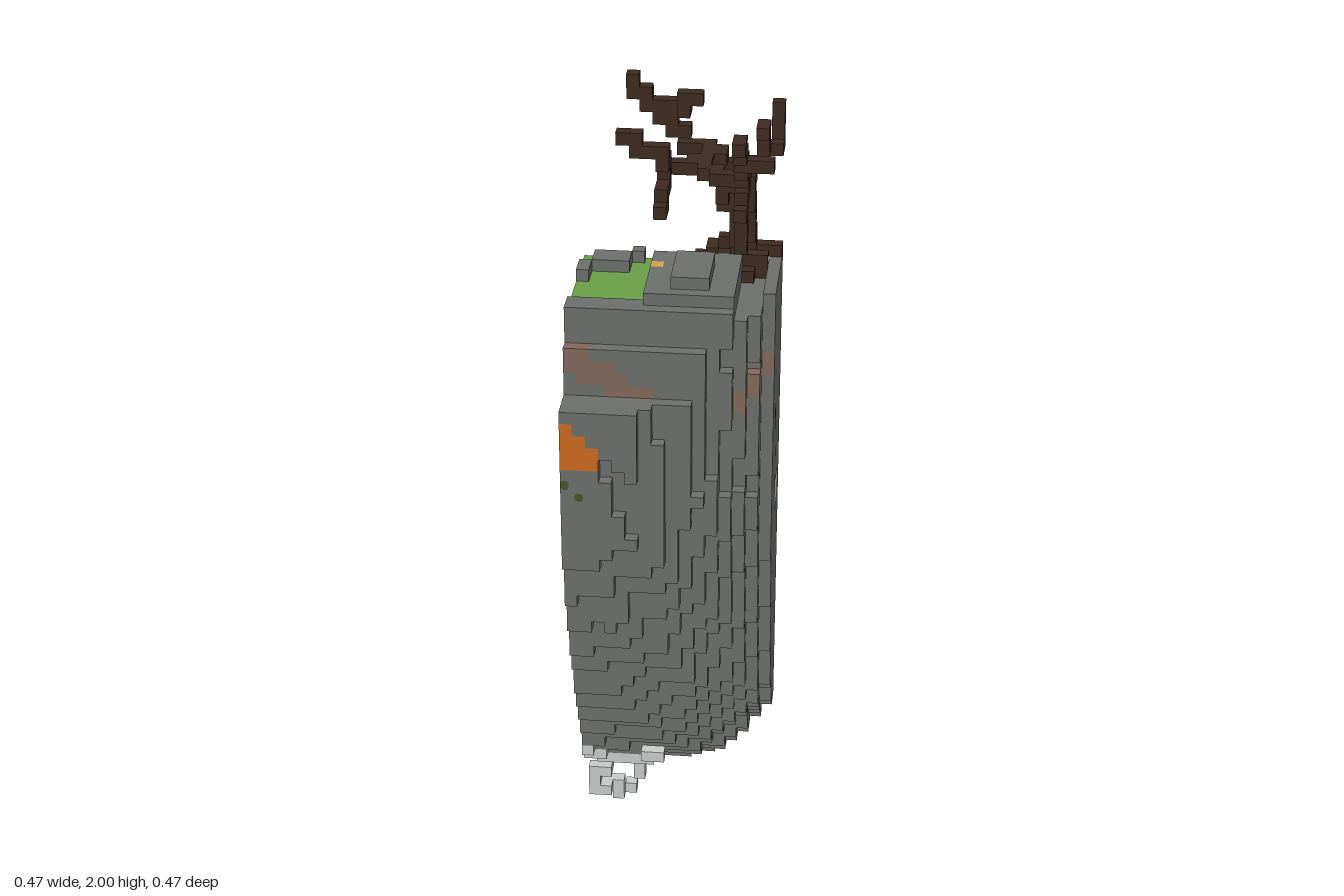
import * as THREE from 'three';

const V = 2 / 69; // edge of one cube; the block is 16 x 69 x 16 cubes
const HALF = 8 * V;

const mat = (name, color) => {
  const m = new THREE.MeshStandardMaterial({ color });
  m.name = name;
  return m;
};

// Depth and width of the rock at height y, measured from its back right corner
const depthAt = y => Math.min(0.47, 0.03 + 0.455 * Math.min(1, (y - 0.15) / 0.9) ** 0.53);
const widthAt = y => Math.min(0.52, 0.28 + 0.25 * Math.sqrt((y - 0.15) / 0.35));
// Above the front ledge the face leans back
const leanAt = y => (y > 1.335 ? 0.394 - 0.3 * (y - 1.335) : 1);

// Is column i, k covered with grass?
function grassy(i, k) {
  const bump = (i >= 1 && i <= 3 && (k === 1 || k === 2)) || (i === 4 && k === 0);
  const edge = i === 0 && (k === 3 || k === 4);
  return !bump && !edge && ((i <= 5 && k <= 9) || (i <= 10 && k <= 2));
}

// Number of cubes up to the top of column i, k
function topOf(i, k) {
  if (grassy(i, k) || i === 14) return 52;
  if (i <= 5 || i === 15) return 53;
  if (i >= 8 && i <= 10 && k >= 5 && k <= 9) return 55;
  return k >= 3 && i <= 12 ? 54 : 52;
}

function inRock(i, j, k) {
  if (i < 0 || k < 0 || i > 15 || k > 15 || j < 5 || j >= topOf(i, k)) return false;
  const y = (j + 0.5) * V, d = (k + 0.5) * V;
  const rough = i > 2 ? 1 + 0.03 * Math.sin(i * 1.1 + j * 0.42) * Math.sin(i * 0.35 - j * 0.23) : 1;
  return d < leanAt(y) && ((i + 0.5) * V / widthAt(y)) ** 2 + (d / (depthAt(y) * rough)) ** 2 < 1;
}

// Colour name of a rock cube
function rockColour(i, j, k) {
  const x = (i - 7.5) * V, y = (j + 0.5) * V;
  if (grassy(i, k) && j === 51) return 'grass';
  if ((i === 6 && k === 5 && j === 53) || (i === 14 && k === 0 && j === 50)) return 'gold';
  const shown = !inRock(i, j, k + 1) || !inRock(i, j + 1, k);
  if (!shown || k < 5) return 'rock';
  if (x < -0.14 && y > 1.19 && y < 1.31 - 0.9 * (x + 0.22)) return 'orange';
  // two bands sloping down towards the middle, below the lean of the face
  if (k < 13 && x < 0.005 && Math.abs(y - 1.29 + 0.62 * x) < 0.036) return 'clay';
  if (x > 0.145 && Math.abs(y - 1.165 - 0.9 * x) < 0.036) return 'clay';
  return 'rock';
}

// Geometry of the exposed faces of a set of cubes
function cubeFaces(cells, isSolid) {
  const pos = [], nor = [], idx = [];
  for (const c of cells) for (let a = 0; a < 3; a++) for (const s of [-1, 1]) {
    const next = [...c];
    next[a] += s;
    if (isSolid(...next)) continue;
    const base = pos.length / 3;
    for (const [p, q] of [[0, 0], [1, 0], [1, 1], [0, 1]]) {
      const w = [...c], n = [0, 0, 0];
      w[a] += s > 0 ? 1 : 0;
      w[(a + 1) % 3] += p;
      w[(a + 2) % 3] += q;
      n[a] = s;
      pos.push(w[0] * V - HALF, w[1] * V, w[2] * V - HALF);
      nor.push(...n);
    }
    idx.push(...(s > 0 ? [0, 1, 2, 0, 2, 3] : [0, 2, 1, 0, 3, 2]).map(o => o + base));
  }
  const g = new THREE.BufferGeometry();
  g.setAttribute('position', new THREE.Float32BufferAttribute(pos, 3));
  g.setAttribute('normal', new THREE.Float32BufferAttribute(nor, 3));
  g.setIndex(idx);
  return g;
}

// Chains of cubes along polylines given in model units
function chains(...lines) {
  const cells = new Map();
  for (const line of lines) for (let n = 1; n < line.length; n++) {
    const a = new THREE.Vector3(...line[n - 1]), b = new THREE.Vector3(...line[n]);
    const steps = Math.ceil(a.distanceTo(b) / (V * 0.3));
    for (let t = 0; t <= steps; t++) {
      const p = a.clone().lerp(b, t / steps).divideScalar(V);
      const c = [Math.floor(p.x + 8), Math.floor(p.y), Math.floor(p.z + 8)];
      cells.set(c.join(), c);
    }
  }
  return cubeFaces(cells.values(), (...c) => cells.has(c.join()));
}

// Thin rounded patch on a flat side: h is x on the front and back, z on the two sides
const TURN = { front: 0, left: Math.PI / 2, right: -Math.PI / 2, back: Math.PI };
const swell = v => Math.sign(v) * Math.abs(v) ** 0.8;
function patchGeometry(face, h, y, rh, ry) {
  const flip = face === 'right' || face === 'front' ? 1 : -1;
  const g = new THREE.CircleGeometry(1, 16);
  const p = g.attributes.position;
  for (let n = 0; n < p.count; n++) {
    const across = h * flip + rh * swell(p.getX(n));
    p.setXYZ(n, THREE.MathUtils.clamp(across, -HALF, HALF), y + ry * swell(p.getY(n)), HALF + 0.002);
  }
  return g.rotateY(TURN[face]);
}

export function createModel() {
  const group = new THREE.Group();
  const M = {
    rock: mat('rock grey', 0x6d6f6c), grass: mat('grass green', 0x6a9e45),
    clay: mat('clay', 0x82695c), orange: mat('orange', 0xcc6a20),
    gold: mat('gold', 0xd0a544), bark: mat('bark brown', 0x3c2b21),
    pale: mat('pale root', 0xc8cbca), moss: mat('moss', 0x4b5128),
  };
  const add = (name, geo, m) => {
    const mesh = new THREE.Mesh(geo, m);
    mesh.name = name;
    group.add(mesh);
  };

  // Rock body with grass cap, split by colour
  const parts = { rock: [], grass: [], clay: [], orange: [], gold: [] };
  for (let i = 0; i < 16; i++) for (let j = 5; j < 55; j++) for (let k = 0; k < 16; k++) {
    if (inRock(i, j, k)) parts[rockColour(i, j, k)].push([i, j, k]);
  }
  for (const key in parts) add(key + 'Cubes', cubeFaces(parts[key], inRock), M[key]);

  // Bare tree
  add('trunk', chains(
    [[0.13, 1.5, -0.19], [0.13, 1.62, -0.17], [0.14, 1.72, -0.14], [0.1, 1.84, -0.05]],
    [[0.16, 1.5, -0.19], [0.16, 1.68, -0.16], [0.13, 1.8, -0.08]],
    [[0.13, 1.52, -0.16], [0.11, 1.76, -0.11], [0.07, 1.84, -0.04]],
  ), M.bark);
  add('treeRoots', chains(
    [[0.04, 1.52, -0.22], [0.14, 1.56, -0.22], [0.22, 1.55, -0.22]],
    [[0.07, 1.52, -0.19], [0.1, 1.57, -0.19], [0.1, 1.52, -0.15]],
    [[0.16, 1.56, -0.16], [0.16, 1.5, -0.12]],
    [[0.16, 1.56, -0.19], [0.19, 1.52, -0.16]],
  ), M.bark);
  add('backRightBranch', chains(
    [[0.1, 1.84, -0.05], [0.05, 1.85, -0.1], [0, 1.86, -0.13], [-0.045, 1.92, -0.13], [-0.1, 1.965, -0.13], [-0.1, 1.99, -0.13]],
    [[-0.045, 1.91, -0.13], [-0.045, 1.91, -0.19]],
    [[-0.02, 1.9, -0.13], [0.04, 1.965, -0.1]],
  ), M.bark);
  add('frontRightBranch', chains(
    [[0.1, 1.84, -0.05], [0.05, 1.84, 0], [-0.01, 1.83, 0.03], [-0.01, 1.79, 0.13]],
    [[-0.01, 1.84, 0.04], [-0.02, 1.89, 0.07], [-0.1, 1.93, 0.07]],
  ), M.bark);
  add('frontLeftBranch', chains(
    [[0.06, 1.83, -0.01], [0.1, 1.83, 0.07], [0.155, 1.85, 0.07], [0.155, 1.965, 0.19]],
    [[0.155, 1.89, 0.13], [0.22, 1.91, 0.13]],
    [[0.155, 1.84, 0.02], [0.155, 1.77, 0.13]],
    [[0.155, 1.8, 0.1], [0.155, 1.7, 0.1]],
  ), M.bark);
  add('backLeftBranch', chains(
    [[0.14, 1.74, -0.14], [0.19, 1.79, -0.16], [0.22, 1.81, -0.21], [0.22, 1.9, -0.22]],
    [[0.19, 1.79, -0.16], [0.19, 1.88, -0.14]],
  ), M.bark);

  // Pale roots creeping over and hanging below the rock
  add('hangingRoots', chains(
    [[-0.13, 0.16, -0.17], [-0.15, 0.12, -0.2], [-0.21, 0.11, -0.15], [-0.21, 0.05, -0.15], [-0.135, 0.01, -0.21]],
    [[-0.1, 0.2, -0.15], [-0.1, 0.11, -0.16]],
    [[-0.22, 0.24, -0.05], [-0.19, 0.2, -0.09], [-0.12, 0.18, -0.11], [-0.05, 0.22, -0.08]],
  ), M.pale);

  // Painted patches on the flat sides
  const patch = (name, m, ...where) => add(name, patchGeometry(...where), m);
  patch('palePatch', M.pale, 'left', -0.115, 0.975, 0.057, 0.045);
  patch('upperMossSpot', M.moss, 'left', -0.04, 1.205, 0.016, 0.035);
  for (const y of [0.965, 1.025, 1.105]) patch('mossSpot', M.moss, 'left', -0.066, y, 0.012, 0.018);
  patch('mossSide', M.moss, 'right', 0.09, 0.69, 0.03, 0.055);
  patch('mossDotFront', M.moss, 'front', -0.222, 1.15, 0.01, 0.012);
  patch('mossDotFront', M.moss, 'front', -0.19, 1.12, 0.01, 0.01);
  patch('brownBack', M.bark, 'back', -HALF, 0.68, 0.115, 0.175);
  patch('brownSide', M.bark, 'right', -0.15, 0.69, 0.13, 0.185);
  patch('lowBrownBack', M.bark, 'back', -HALF, 0.26, 0.045, 0.045);
  patch('lowBrownSide', M.bark, 'right', -0.21, 0.26, 0.04, 0.045);
  patch('clayBack', M.clay, 'back', -0.11, 1.14, 0.065, 0.025);
  patch('claySide', M.clay, 'right', -0.15, 1.13, 0.04, 0.01);
  patch('orangeSide', M.orange, 'right', 0.225, 1.25, 0.04, 0.06);
  return group;
}
